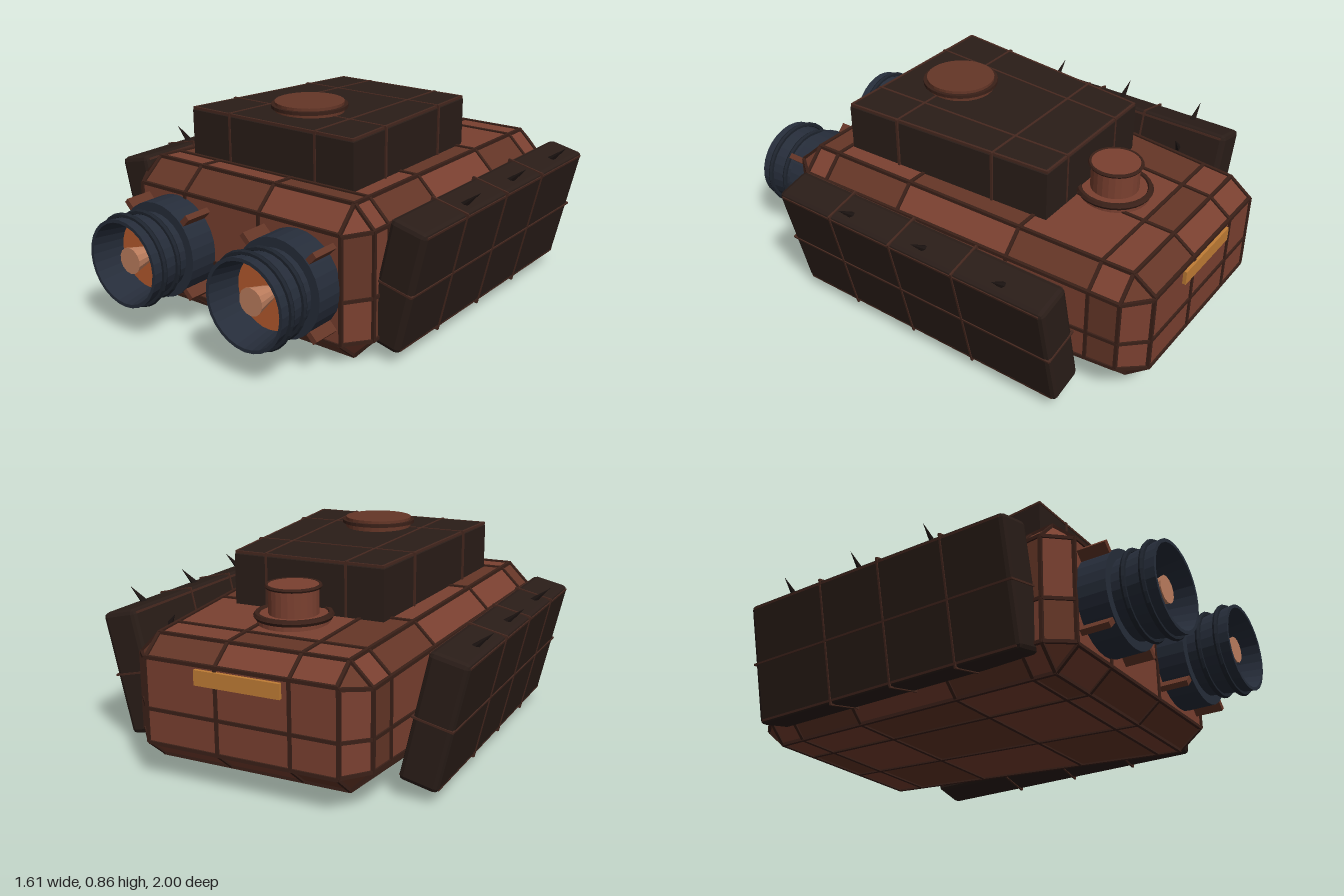
import * as THREE from 'three';
import { mergeGeometries } from 'three/addons/utils/BufferGeometryUtils.js';
import { RoundedBoxGeometry } from 'three/addons/geometries/RoundedBoxGeometry.js';

const mat = (color, double) => new THREE.MeshStandardMaterial({
  color, flatShading: true, side: double ? THREE.DoubleSide : THREE.FrontSide });
const rust = mat(0x7a4030), rustDark = mat(0x653627), hullSeam = mat(0x3a2018);
const iron = mat(0x2a1d18), ironSeam = mat(0x46281f), spikeMat = mat(0x1c1412);
const steel = mat(0x262d3a, true), steelDark = mat(0x1d232d);
const glow = mat(0xb85c2e), plugMat = mat(0xc08060), lampMat = mat(0xc07d35);
const V = (x, y, z) => new THREE.Vector3(x, y, z);

function add(parent, name, geo, material, x = 0, y = 0, z = 0) {
  const m = new THREE.Mesh(geo, material);
  m.name = name;
  m.position.set(x, y, z);
  parent.add(m);
  return m;
}

// Thin strip laid between two points
function strip(a, b, t = 0.014) {
  const o = new THREE.Object3D();
  o.position.copy(a).lerp(b, 0.5);
  o.lookAt(b);
  o.updateMatrix();
  return new THREE.BoxGeometry(t, t, a.distanceTo(b) + t * 0.5).applyMatrix4(o.matrix);
}
const strips = (pts, closed, t) => pts.slice(closed ? 0 : 1).map((p, i) =>
  closed ? strip(p, pts[(i + 1) % pts.length], t) : strip(pts[i], p, t));

// Chamfered hull cross-section, split at the panel joints
function hullRing(z, w, y0, y1, c) {
  const f = [-1, -0.53, 0.24, 1].map(k => k * (w - c));
  const sideY = [y0 + c, y0 + c + (y1 - y0 - 2 * c) * 0.4, y1 - c];
  return [
    ...f.map(x => V(x, y0, z)), ...sideY.map(y => V(w, y, z)),
    ...f.slice().reverse().map(x => V(x, y1, z)), ...sideY.slice().reverse().map(y => V(-w, y, z))];
}

function buildHull(root) {
  const hull = new THREE.Group();
  hull.name = 'hull';
  root.add(hull);
  const rings = [hullRing(-0.985, 0.405, 0.15, 0.49, 0.006)];
  for (const z of [-0.89, -0.76, -0.4, 0.12, 0.49, 0.59]) {
    const t = (0.59 - z) / 1.48;
    rings.push(hullRing(z, 0.592 - 0.1 * t, 0.006 + 0.064 * t, 0.622 - 0.062 * t, 0.09));
  }
  rings.push(hullRing(0.69, 0.515, 0.09, 0.53, 0.006));
  const tones = [[], []], seams = [];
  const put = (tone, ...p) => p.forEach(v => tones[tone].push(v.x, v.y, v.z));
  const n = rings[0].length;
  rings.forEach((r, j) => {
    seams.push(...strips(r, true));
    const next = rings[j + 1];
    if (!next) return;
    for (let i = 0; i < n; i++) {
      const k = (i + 1) % n, tone = (i * 5 + j * 3) % 7 < 3 ? 1 : 0;
      put(tone, r[i], r[k], next[k], r[i], next[k], next[i]);
      seams.push(strip(r[i], next[i]));
    }
  });
  // End plates, with joints across them
  for (const [r, front] of [[rings[0], false], [rings[rings.length - 1], true]]) {
    const z = r[0].z, mid = V(0, (r[0].y + r[9].y) / 2, z);
    for (let i = 0; i < n; i++) {
      const k = (i + 1) % n;
      if (front) put(0, mid, r[i], r[k]);
      else put(0, mid, r[k], r[i]);
    }
    seams.push(strip(r[1], r[9]), strip(r[2], r[8]), strip(r[5], r[12]));
  }
  tones.forEach((pos, i) => {
    const g = new THREE.BufferGeometry();
    g.setAttribute('position', new THREE.Float32BufferAttribute(pos, 3));
    g.computeVertexNormals();
    add(hull, i ? 'darkHullPlates' : 'hullPlates', g, i ? rustDark : rust);
  });
  add(hull, 'hullSeams', mergeGeometries(seams), hullSeam);
  add(hull, 'rearLamp', new THREE.BoxGeometry(0.36, 0.06, 0.03), lampMat, 0, 0.445, -0.985);
}

function buildDeckhouse(root) {
  const house = new THREE.Group();
  house.name = 'deckhouse';
  root.add(house);
  // Tapered block whose roof slopes to the rear
  const topY = z => 0.814 + 0.027 * z;
  const b = 0.015, corners = [[-0.4, -0.465], [0.4, -0.465], [0.32, 0.44], [-0.32, 0.44]];
  const g = new THREE.ExtrudeGeometry(new THREE.Shape(corners.map(c => new THREE.Vector2(...c))),
    { depth: 0.25, bevelSize: b, bevelThickness: b, bevelSegments: 1 });
  g.rotateX(-Math.PI / 2);
  const p = g.attributes.position;
  for (let i = 0; i < p.count; i++) {
    const y = p.getY(i);
    p.setY(i, y > 0.1 ? topY(p.getZ(i)) + y - 0.25 - b : 0.55 + y);
  }
  g.computeVertexNormals();
  add(house, 'deckhouseBlock', g, iron);
  // Joints run over the roof and down the walls
  const half = z => 0.374 + 0.0884 * z, seams = [];
  for (const z of [-0.21, 0.24]) {
    const x = half(z) + 0.002, y = topY(z) - 0.003;
    seams.push(...strips([V(-x, 0.57, z), V(-x, y, z), V(x, y, z), V(x, 0.57, z)], false, 0.01));
  }
  for (const f of [-0.5, 0.55])
    seams.push(...strips([V(f * 0.42, 0.6, 0.478), V(f * 0.42, topY(0.48) - 0.003, 0.478),
      V(f * 0.34, topY(-0.45) - 0.003, -0.452), V(f * 0.34, 0.58, -0.452)], false, 0.01));
  const rim = [[-1, 0.475], [1, 0.475], [1, -0.45], [-1, -0.45]]
    .map(([s, z]) => V(s * (half(z) - 0.007), topY(z) - 0.006, z));
  seams.push(...strips(rim, true, 0.01));
  add(house, 'deckhouseSeams', mergeGeometries(seams), ironSeam);
  // Roof hatch
  add(house, 'roofHatch', new THREE.CylinderGeometry(0.145, 0.145, 0.06, 28), rustDark, 0, 0.833, 0.22);
  add(house, 'hatchRim', new THREE.CylinderGeometry(0.16, 0.16, 0.014, 28), hullSeam, 0, 0.844, 0.22);
}

function buildCupola(root) {
  const cupola = new THREE.Group();
  cupola.name = 'cupola';
  cupola.position.set(0, 0, -0.565);
  root.add(cupola);
  const ring = (name, r, t, y) => add(cupola, name,
    new THREE.TorusGeometry(r, t, 6, 28).rotateX(Math.PI / 2), hullSeam, 0, y, 0);
  add(cupola, 'cupolaBase', new THREE.CylinderGeometry(0.145, 0.145, 0.06, 28), rust, 0, 0.575, 0);
  ring('cupolaBaseRing', 0.145, 0.014, 0.6);
  add(cupola, 'cupolaColumn', new THREE.CylinderGeometry(0.1, 0.1, 0.16, 24), rust, 0, 0.64, 0);
  ring('cupolaTopRing', 0.105, 0.008, 0.715);
}

function buildSkirt(root, side) {
  const skirt = new THREE.Group();
  skirt.name = side > 0 ? 'leftSkirt' : 'rightSkirt';
  skirt.position.set(side * 0.657, 0.315, -0.095);
  skirt.rotation.z = -side * 0.225;
  root.add(skirt);
  const w = 0.16, h = 0.52, d = 1.305, x = w / 2, y = h / 2, z = d / 2;
  add(skirt, 'skirtArmour', new RoundedBoxGeometry(w, h, d, 1, 0.02), iron);
  const seams = [];
  for (const k of [0.365, 0.055, -0.25])
    seams.push(...strips([V(-x, -y, k), V(x, -y, k), V(x, y, k), V(-x, y, k)], true, 0.008));
  seams.push(...strips([V(-x, 0, -z), V(x, 0, -z), V(x, 0, z), V(-x, 0, z)], true, 0.008));
  for (const s of [-1, 1])
    for (const t of [-1, 1])
      seams.push(strip(V(s * (x - 0.004), t * (y - 0.016), -z + 0.02), V(s * (x - 0.004), t * (y - 0.016), z - 0.02), 0.009));
  add(skirt, 'skirtSeams', mergeGeometries(seams), ironSeam);
  // Spikes along the top: long outer ones and short inner ones
  for (const k of [0.2, -0.17, -0.54]) {
    const outer = add(root, 'outerSpike', new THREE.ConeGeometry(0.02, 0.13, 6), spikeMat, side * 0.757, 0.577, k);
    outer.rotation.z = -side * 0.86;
    const inner = add(root, 'innerSpike', new THREE.ConeGeometry(0.02, 0.08, 6), spikeMat, side * 0.605, 0.49, k);
    inner.rotation.z = side * 0.6;
  }
}

function buildEngine(root, side) {
  const engine = new THREE.Group();
  engine.name = side > 0 ? 'leftEngine' : 'rightEngine';
  engine.position.set(side * 0.315, 0.315, 0);
  root.add(engine);
  const Q = Math.PI / 2;
  const lathe = pts => new THREE.LatheGeometry(pts.map(q => new THREE.Vector2(...q)), 28).rotateX(Q);
  add(engine, 'engineCollar', lathe([[0.2, 0.62], [0.2, 0.815], [0.15, 0.815]]), steel);
  add(engine, 'nozzle', lathe([[0.16, 0.8], [0.165, 0.86], [0.182, 1], [0.168, 1], [0.145, 0.86]]), steel);
  for (const [z, r] of [[0.87, 0.175], [0.95, 0.184]])
    add(engine, 'nozzleRing', new THREE.TorusGeometry(r, 0.011, 6, 28), steelDark, 0, 0, z);
  add(engine, 'burner', new THREE.CylinderGeometry(0.152, 0.152, 0.03, 16).rotateX(Q), glow, 0, 0, 0.85);
  add(engine, 'burnerPlug', new THREE.CylinderGeometry(0.055, 0.03, 0.1, 14).rotateX(Q), plugMat, 0, 0, 0.91);
  // Diagonal braces around the collar
  for (let i = 0; i < 4; i++) {
    const a = Math.PI / 4 + i * Q;
    add(engine, 'engineBrace', new THREE.BoxGeometry(0.1, 0.024, 0.13), rustDark,
      Math.cos(a) * 0.195, Math.sin(a) * 0.195, 0.745).rotation.z = a;
  }
}

export function createModel() {
  const root = new THREE.Group();
  root.name = 'armouredCraft';
  buildHull(root);
  buildDeckhouse(root);
  buildCupola(root);
  for (const side of [-1, 1]) {
    buildSkirt(root, side);
    buildEngine(root, side);
  }
  return root;
}
